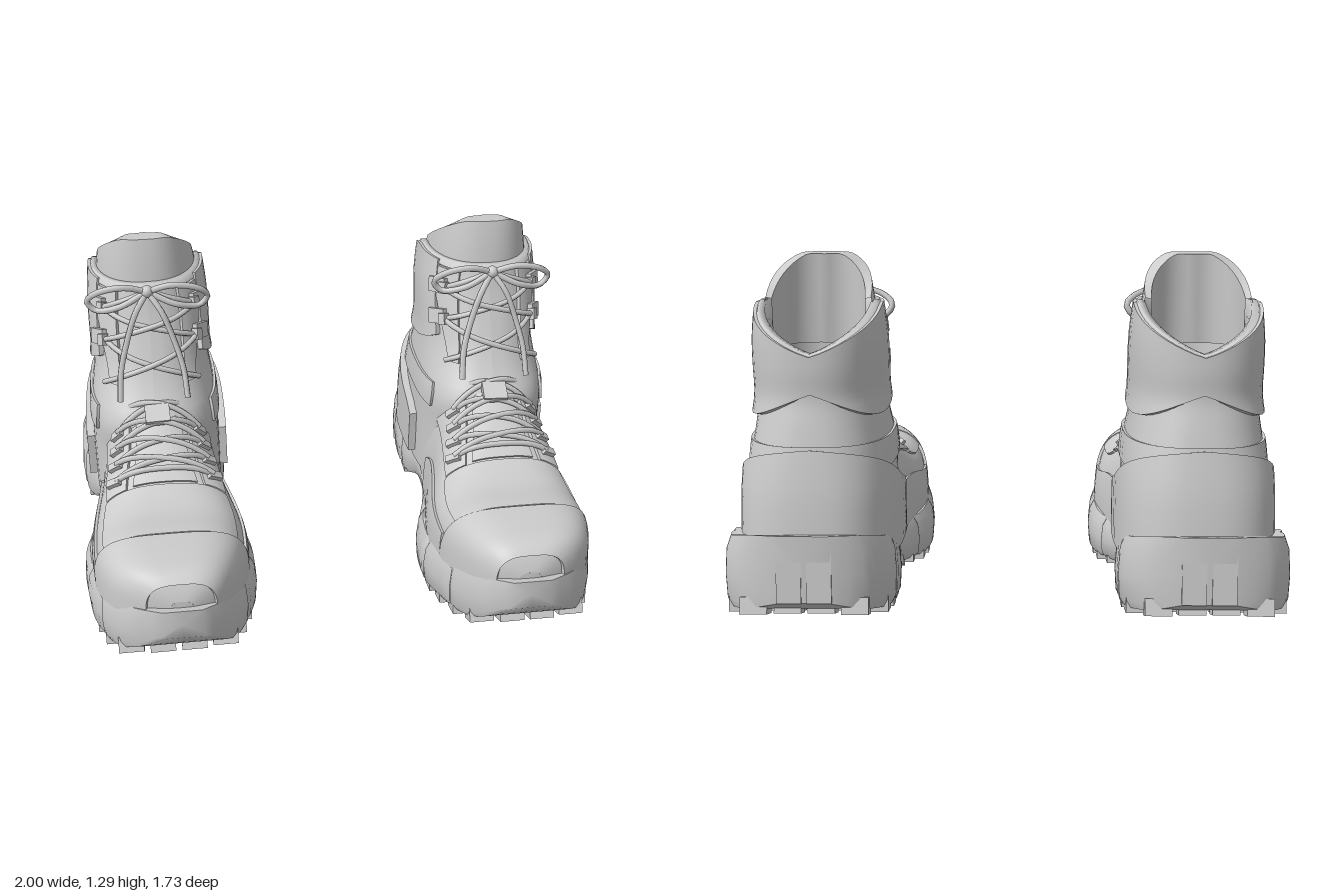
import * as THREE from 'three';
import { toCreasedNormals } from 'three/addons/utils/BufferGeometryUtils.js';

const V = (x, y, z) => new THREE.Vector3(x, y, z);
const mat = new THREE.MeshStandardMaterial({ color: 0xcccccc, side: THREE.DoubleSide });
const spow = (a, p) => Math.sign(a) * Math.abs(a) ** p;
const { lerp, clamp } = THREE.MathUtils;

// smooth lookup in rows of [key, ...values], keys ascending
function look(rows, k) {
  let i = 0;
  while (i < rows.length - 2 && k > rows[i + 1][0]) i++;
  const a = rows[i], b = rows[i + 1], h = b[0] - a[0];
  const t = clamp((k - a[0]) / h, 0, 1);
  const p = rows[i - 1] || a, n = rows[i + 2] || b;
  return a.slice(1).map((_, j) => {
    const c = j + 1;
    const ma = (b[c] - p[c]) / (b[0] - p[0]) * h, mb = (n[c] - a[c]) / (n[0] - a[0]) * h;
    const t2 = t * t, t3 = t2 * t;
    return (2 * t3 - 3 * t2 + 1) * a[c] + (t3 - 2 * t2 + t) * ma + (3 * t2 - 2 * t3) * b[c] + (t3 - t2) * mb;
  });
}

// z, inner x, outer x, bottom y, top y of the sole
const SOLE = [
  [-0.86, 0.60, 0.78, 0.10, 0.355], [-0.82, 0.49, 0.90, 0.07, 0.35], [-0.70, 0.405, 0.99, 0.045, 0.32],
  [-0.55, 0.39, 1.0, 0.03, 0.31], [-0.49, 0.39, 1.0, 0.03, 0.275], [-0.40, 0.40, 0.98, 0.03, 0.26],
  [-0.33, 0.42, 0.95, 0.06, 0.25], [-0.26, 0.43, 0.93, 0.08, 0.235], [-0.12, 0.425, 0.925, 0.08, 0.19],
  [-0.05, 0.41, 0.935, 0.03, 0.185], [0.05, 0.38, 0.96, 0.015, 0.19], [0.2, 0.335, 0.985, 0.0, 0.20],
  [0.4, 0.33, 0.97, 0.01, 0.22], [0.55, 0.36, 0.94, 0.04, 0.26], [0.7, 0.41, 0.88, 0.08, 0.305],
  [0.8, 0.47, 0.80, 0.14, 0.33], [0.86, 0.55, 0.70, 0.21, 0.345],
];
// z, inner x, outer x, top y, roundness of the foot
const FOOT = [
  [-0.3, 0.43, 0.91, 0.82, 1], [-0.2, 0.43, 0.91, 0.78, 1], [-0.1, 0.43, 0.91, 0.71, 1], [0, 0.42, 0.915, 0.65, 0.95],
  [0.1, 0.40, 0.925, 0.595, 0.9], [0.2, 0.38, 0.935, 0.535, 0.8], [0.3, 0.365, 0.94, 0.48, 0.7],
  [0.4, 0.365, 0.935, 0.455, 0.62], [0.55, 0.385, 0.915, 0.465, 0.57], [0.7, 0.435, 0.86, 0.46, 0.55],
  [0.78, 0.48, 0.79, 0.445, 0.55], [0.815, 0.52, 0.73, 0.41, 0.6], [0.825, 0.58, 0.67, 0.36, 0.7],
];
// y, front z, back z, half width, roundness of the shaft
const SHAFT = [
  [0.2, 0, -0.795, 0.26, 0.68], [0.45, 0, -0.775, 0.258, 0.68], [0.6, 0.03, -0.752, 0.25, 0.72], [0.72, -0.04, -0.73, 0.232, 0.8],
  [0.8, -0.08, -0.715, 0.222, 0.85], [0.9, -0.12, -0.72, 0.222, 0.85], [1.0, -0.155, -0.72, 0.22, 0.85], [1.12, -0.185, -0.72, 0.208, 0.9],
];
const CX = 0.675;

// foot surface: u sweeps over the top from the outer to the inner side
function foot(u, z) {
  const [xi, xo, top, p] = look(FOOT, z), base = look(SOLE, z)[3] - 0.03, a = u * Math.PI;
  return V((xi + xo) / 2 + (xo - xi) / 2 * spow(Math.cos(a), p), base + (top - base) * spow(Math.sin(a), p), z);
}
// shaft surface: u is a turn about the ankle, 0 at the front
function shaft(u, y) {
  const [zf, zb, hw, p] = look(SHAFT, y), a = u * Math.PI * 2;
  return V(CX + hw * spow(Math.sin(a), p), y, (zf + zb) / 2 + (zf - zb) / 2 * spow(Math.cos(a), p));
}
// collar height, dipping to a notch at the back
const collarTop = u => 0.95 + 0.165 * Math.min(1, Math.abs(((u % 1) + 1) % 1 - 0.5) / 0.24);

function normalAt(f, u, v) {
  const e = 1e-3;
  const du = f(u + e, v).sub(f(u - e, v)), dv = f(u, v + e).sub(f(u, v - e));
  return du.cross(dv).normalize();
}
const lifted = (f, u, v, d) => f(u, v).addScaledVector(normalAt(f, u, v), d);

// grid of points p(i, j)
function grid(p, nu, nv, crease = 0) {
  const pos = [], idx = [], w = nu + 1;
  for (let j = 0; j <= nv; j++) for (let i = 0; i <= nu; i++) pos.push(...p(i, j).toArray());
  for (let j = 0; j < nv; j++) for (let i = 0; i < nu; i++) {
    const a = j * w + i;
    idx.push(a, a + 1, a + w + 1, a, a + w + 1, a + w);
  }
  const g = new THREE.BufferGeometry();
  g.setAttribute('position', new THREE.Float32BufferAttribute(pos, 3));
  g.setIndex(idx);
  if (crease) return toCreasedNormals(g, crease);
  g.computeVertexNormals();
  return g;
}
// raised panel with edges turned down onto surface f; map(s, t) gives [u, v]
function panel(f, map, lift, n = 16, m = 12) {
  return grid((i, j) => {
    const edge = i === 0 || j === 0 || i === n + 2 || j === m + 2;
    const c = (k, q) => clamp((k - 1) / q, 0, 1);
    return lifted(f, ...map(c(i, n), c(j, m)), edge ? -0.008 : lift);
  }, n + 2, m + 2, 0.8);
}

function bootParts() {
  const parts = [];
  const add = (name, geo) => parts.push([name, geo]);
  const tube = (name, pts, r = 0.011) =>
    add(name, new THREE.TubeGeometry(new THREE.CatmullRomCurve3(pts), pts.length * 4, r, 6));
  const plate = (name, f, u, v, w, h, d, lift) => {
    const n = normalAt(f, u, v), up = f(u, v + 0.01).sub(f(u, v)).projectOnPlane(n).normalize();
    const m = new THREE.Matrix4().makeBasis(up.clone().cross(n), up, n).setPosition(lifted(f, u, v, lift));
    add(name, new THREE.BoxGeometry(w, h, d).applyMatrix4(m));
  };

  // sole body with shallow upright grooves in its wall
  const half = [[0, 0], [0.94, 0], [0.985, 0.1], [1, 0.45], [0.98, 0.8], [0.92, 1], [0, 1]];
  const loop = [...half, ...half.slice(0, -1).reverse().map(([x, y]) => [-x, y])];
  const N = 86;
  add('sole', grid((i, j) => {
    const z = lerp(-0.86, 0.86, clamp((j - 1) / N, 0, 1));
    const [xi, xo, b, t] = look(SOLE, z), k = j === 0 || j === N + 2 ? 0 : 1, low = b + 0.02;
    const groove = [-0.62, -0.46, 0.1, 0.36, 0.6].some(g => Math.abs(z - g) < 0.011) ? 0.965 : 1;
    return V((xi + xo) / 2 + (xo - xi) / 2 * loop[i][0] * k * groove, lerp((low + t) / 2, lerp(low, t, loop[i][1]), k), z);
  }, loop.length - 1, N + 2, 0.7));
  // heel bumpers either side of the rear groove
  for (const s of [-1, 1]) {
    add('heelBumper', new THREE.BoxGeometry(0.085, 0.19, 0.03).rotateX(0.06).translate(0.69 + s * 0.052, 0.215, -0.848));
  }

  // tread lugs
  for (let z = -0.79; z < 0.78; z += 0.107) {
    if (z > -0.37 && z < -0.06) continue;
    const [xi, xo, b] = look(SOLE, z), w = (xo - xi) * 0.98 / 4;
    const slope = (look(SOLE, z + 0.03)[2] - look(SOLE, z - 0.03)[2]) / 0.06;
    for (let c = 0; c < 4; c++) {
      const g = new THREE.BoxGeometry(w - 0.022, 0.06, 0.085).rotateX(-Math.atan(slope));
      add('treadLug', g.translate((xi + xo) / 2 + (c - 1.5) * w, b + 0.031, z + (c % 3 ? 0.012 : 0)));
    }
  }

  // upper: foot and shaft
  add('vamp', grid((i, j) => foot(i / 32, lerp(-0.3, 0.825, j / 50)), 32, 50));
  add('vampTip', grid((i, j) => {
    const p = foot(i / 16, 0.825);
    return j ? V(0.625, 0.32, 0.828) : p;
  }, 16, 1));
  add('shaft', grid((i, j) => { const u = i / 48; return shaft(u, lerp(0.2, collarTop(u), j / 24)); }, 48, 24));

  // toe cap and panel behind it
  add('toeCap', panel(foot, (s, t) => [s, lerp(0.49 + 0.08 * Math.sin(s * Math.PI), 0.808, t)], 0.012, 28, 12));
  add('toePanel', panel(foot, (s, t) => {
    const z = lerp(0.27, 0.56, t), spread = 0.3 - 0.05 * (1 - t);
    return [0.5 + (s - 0.5) * 2 * spread, z];
  }, 0.009));
  // panels repeated on each side of the boot
  for (const side of [0, 1]) {
    const flip = map => (s, t) => {
      const [u, v] = map(side ? 1 - s : s, t);
      return [side ? 1 - u : u, v];
    };
    add('sideRand', panel(foot, flip((s, t) => [s * (0.03 + 0.11 * Math.sin(Math.PI * (0.1 + 0.8 * t)) ** 0.6), lerp(-0.1, 0.49, t)]), 0.01));
    add('eyestay', panel(foot, flip((s, t) => [lerp(0.2 + 0.06 * t, 0.37, s), lerp(-0.12, 0.27, t)]), 0.014));
    const sg = side ? -1 : 1;
    add('shaftFacing', panel(shaft, (s, t) => {
      const k = side ? 1 - s : s;
      return [sg * lerp(0.08, 0.11 + 0.06 * t, k), lerp(0.74, 1.09, t)];
    }, 0.016));
    // eyelets and hooks
    for (let k = 0; k < 5; k++) plate('eyelet', foot, side ? 0.69 : 0.31, 0.22 - 0.07 * k, 0.06, 0.03, 0.025, 0.018);
    for (const y of [0.9, 1.02]) {
      plate('hookPlate', shaft, sg * 0.14, y, 0.085, 0.06, 0.02, 0.024);
      plate('hook', shaft, sg * 0.115, y, 0.03, 0.045, 0.03, 0.036);
    }
  }
  // heel counter, quarter band and padded collar
  add('heelCounter', panel(shaft, (s, t) => {
    const u = lerp(0.22, 0.78, s), d = Math.abs(s - 0.5) * 2;
    return [u, lerp(0.24, 0.63 - 0.07 * d - 0.14 * d ** 3, t)];
  }, 0.03, 30, 10));
  add('quarterBand', panel(shaft, (s, t) => [lerp(0.16, 0.84, s), lerp(0.54, 0.64, t)], 0.01, 30, 4));
  add('anklePad', panel(shaft, (s, t) => {
    const u = lerp(0.15, 0.85, s), d = Math.abs(s - 0.5) * 2;
    return [u, lerp(0.82 - 0.09 * Math.sin(d * Math.PI), collarTop(u), t)];
  }, 0.02, 34, 10));

  // lining, insole and rolled rim
  const ZC = -0.49;
  const scaled = (u, ring, s, y) => {
    const p = shaft(u, ring);
    return V(lerp(CX, p.x, s), y, lerp(ZC, p.z, s));
  };
  add('lining', grid((i, j) => {
    const u = i / 48, t = collarTop(u);
    const [s, y] = [[1.07, t - 0.015], [1.02, t + 0.01], [0.9, t + 0.01], [0.81, t - 0.06], [0.8, 0.6], [0.75, 0.45], [0, 0.44]][j];
    return scaled(u, t, s, y);
  }, 48, 6));
  // tongue rising above the collar, thick at the front and thin in the wings
  add('tongueTop', grid((i, j) => {
    const u = lerp(-0.27, 0.27, i / 26), d = Math.abs(u) / 0.27;
    const drop = clamp((-0.25 - scaled(u, 1.1, 0.84, 0).z) / 0.25, 0, 1), top = 1.285 - 0.155 * drop;
    const out = lerp(0.82, 0.9, d), inn = lerp(0.54, 0.8, d);
    const [s, y] = [[0.95, 0.95], [0.96, 1.09], [out, top], [inn, top - 0.005], [lerp(0.66, 0.78, d), 0.95]][j];
    return scaled(u, 1.1, s, y);
  }, 26, 4, 0.9));
  // padded tongue on the instep and a lace keeper
  add('tongue', panel(foot, (s, t) => [lerp(0.4, 0.6, s), lerp(-0.12, 0.26, t)], 0.008));
  plate('laceKeeper', foot, 0.5, 0.02, 0.095, 0.08, 0.03, 0.035);

  // laces over the instep
  const across = (f, ua, ub, va, vb, lift) => [0, 0.15, 0.32, 0.5, 0.68, 0.85, 1].map(t =>
    lifted(f, lerp(ua, ub, t), lerp(va, vb, t), lift + 0.006 * Math.sin(t * Math.PI)));
  for (let k = 0; k < 5; k++) {
    const z = 0.22 - 0.07 * k;
    if (k === 0) tube('lace', across(foot, 0.32, 0.68, z, z, 0.024));
    tube('lace', across(foot, 0.32, 0.68, z, z - 0.07, 0.022));
    tube('lace', across(foot, 0.68, 0.32, z, z - 0.07, 0.03));
  }
  // laces up the shaft
  const rows = [0.74, 0.9, 1.02, 1.1];
  for (let k = 0; k < 3; k++) for (const s of [-1, 1]) {
    const b = k === 2 ? 0 : -s * 0.115;
    tube('lace', across(shaft, s * 0.115, b, rows[k], rows[k + 1], 0.026 + (s > 0 ? 0.01 : 0)));
  }
  // bow
  add('knot', new THREE.SphereGeometry(0.025, 10, 8).translate(CX, 1.11, -0.14));
  for (const s of [-1, 1]) {
    const q = pts => pts.map(([x, y, z]) => V(CX + s * x, y, z));
    tube('bowLoop', q([[0, 1.11, -0.14], [0.09, 1.14, -0.12], [0.19, 1.12, -0.13], [0.23, 1.08, -0.15],
      [0.2, 1.04, -0.15], [0.11, 1.06, -0.12], [0, 1.11, -0.14]]), 0.012);
    tube('laceEnd', q([[0, 1.11, -0.14], [0.05, 1.04, -0.1], [0.09, 0.93, -0.08], [0.12, 0.82, -0.05], [0.13, 0.71, -0.01]]), 0.012);
  }
  return parts;
}

export function createModel() {
  const model = new THREE.Group();
  const left = new THREE.Group(), right = new THREE.Group();
  left.name = 'leftBoot';
  right.name = 'rightBoot';
  for (const [name, geo] of bootParts()) {
    // mirrored copy with its winding reversed
    const twin = geo.clone().scale(-1, 1, 1);
    const order = geo.index ? Array.from(geo.index.array) : Array.from({ length: geo.attributes.position.count }, (_, i) => i);
    twin.setIndex(order.reverse());
    for (const [group, g] of [[left, geo], [right, twin]]) {
      const mesh = new THREE.Mesh(g, mat);
      mesh.name = name;
      group.add(mesh);
    }
  }
  model.add(left, right);
  return model;
}
